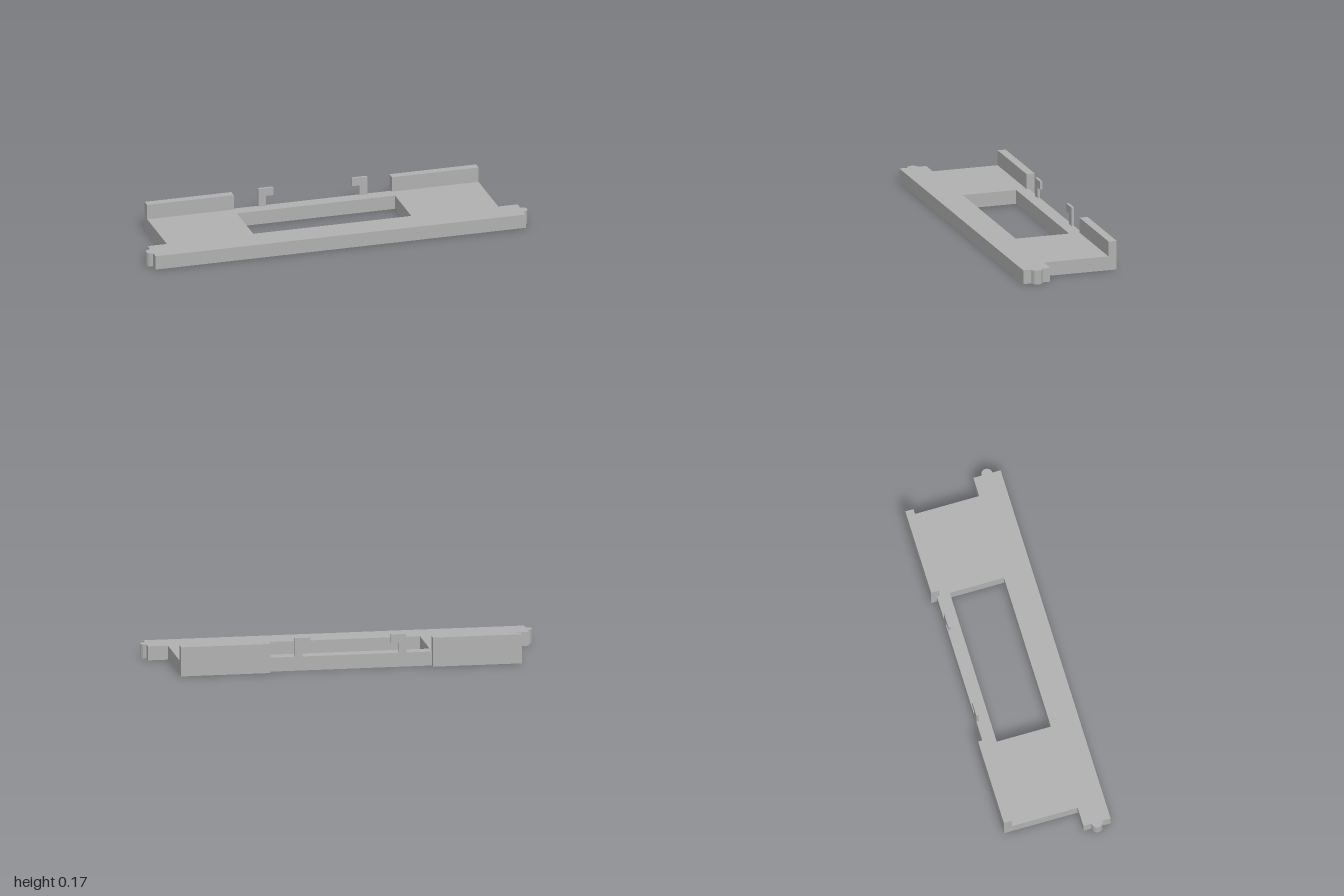
import * as THREE from 'three';
import { toCreasedNormals } from 'three/addons/utils/BufferGeometryUtils.js';

const PLATE_TOP = 0.072;

export function createModel() {
  const model = new THREE.Group();
  const grey = new THREE.MeshStandardMaterial({ color: 0xb0b0b0 });
  grey.name = 'grey';

  const add = (name, geometry) => {
    const mesh = new THREE.Mesh(geometry, grey);
    mesh.name = name;
    model.add(mesh);
    return mesh;
  };
  const extrude = (shape, depth) =>
    toCreasedNormals(
      new THREE.ExtrudeGeometry(shape, { depth, bevelEnabled: false, curveSegments: 24 }),
      Math.PI / 6
    );

  // Base plate outline, drawn with shape y = -z
  const outline = new THREE.Shape();
  outline.moveTo(-0.9715, -0.265);
  outline.lineTo(0.9715, -0.265);
  outline.lineTo(0.9715, -0.222);
  outline.absarc(0.9715, -0.1935, 0.0285, -Math.PI / 2, Math.PI / 2, false); // pivot nub
  outline.lineTo(0.9715, -0.122);
  outline.lineTo(0.87, -0.122);
  outline.lineTo(0.87, 0.265);
  outline.lineTo(0.415, 0.265);
  outline.lineTo(0.415, 0.235); // recessed back strip
  outline.lineTo(-0.415, 0.235);
  outline.lineTo(-0.415, 0.265);
  outline.lineTo(-0.87, 0.265);
  outline.lineTo(-0.87, -0.122);
  outline.lineTo(-0.9715, -0.122);
  outline.lineTo(-0.9715, -0.165);
  outline.absarc(-0.9715, -0.1935, 0.0285, Math.PI / 2, Math.PI * 1.5, false); // pivot nub
  outline.closePath();

  // Rectangular window
  const windowHole = new THREE.Path();
  windowHole.moveTo(-0.415, -0.117);
  windowHole.lineTo(-0.415, 0.167);
  windowHole.lineTo(0.415, 0.167);
  windowHole.lineTo(0.415, -0.117);
  windowHole.closePath();
  outline.holes.push(windowHole);
  add('basePlate', extrude(outline, PLATE_TOP).rotateX(-Math.PI / 2));

  for (const [side, s] of [['left', 1], ['right', -1]]) {
    // Raised wall along the back edge
    const wall = add(side + 'BackWall', new THREE.BoxGeometry(0.455, 0.15 - PLATE_TOP, 0.043));
    wall.position.set(s * 0.6425, (0.15 + PLATE_TOP) / 2, -0.2435);

    // Thin hook with its arm pointing to the middle
    const hook = new THREE.Shape(
      [
        [0.286, PLATE_TOP], [0.286, 0.168], [0.206, 0.168],
        [0.206, 0.126], [0.246, 0.126], [0.246, PLATE_TOP],
      ].map(([x, y]) => new THREE.Vector2(s * x, y))
    );
    add(side + 'Hook', extrude(hook, 0.014)).position.z = -0.236;
  }

  return model;
}
